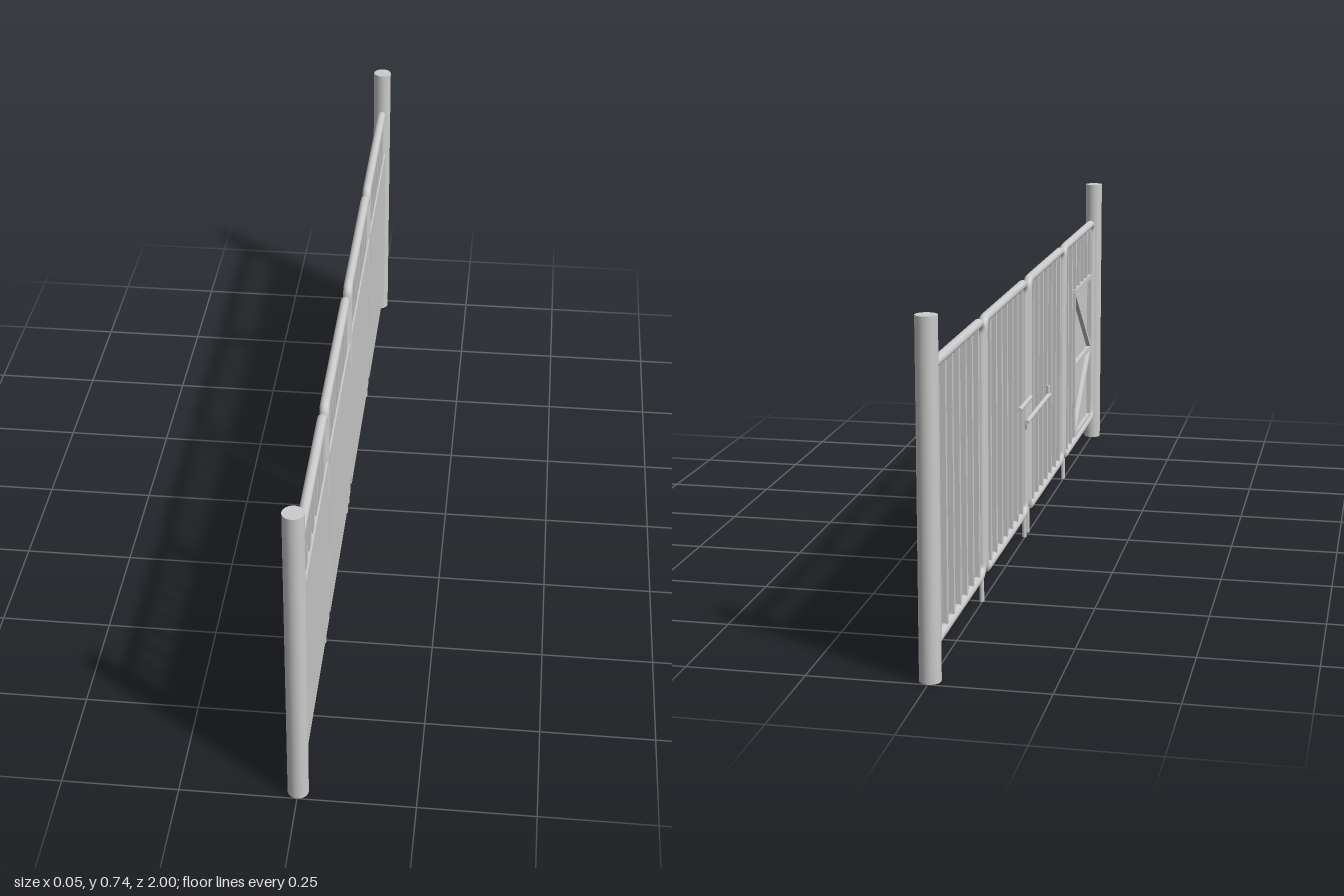
import * as THREE from 'three';

const mat = new THREE.MeshStandardMaterial({ color: 0xcccccc });
const V = (y, z, x = 0) => new THREE.Vector3(x, y, z);

function add(parent, name, geometry, x = 0, y = 0, z = 0) {
  const mesh = new THREE.Mesh(geometry, mat);
  mesh.name = name;
  mesh.position.set(x, y, z);
  parent.add(mesh);
  return mesh;
}

// round or square rod between two points
function rod(parent, name, a, b, r, square = false) {
  const len = a.distanceTo(b);
  const geo = square ? new THREE.BoxGeometry(2 * r, len, 2 * r) : new THREE.CylinderGeometry(r, r, len, 12);
  const mesh = add(parent, name, geo);
  mesh.position.copy(a).lerp(b, 0.5);
  mesh.quaternion.setFromUnitVectors(new THREE.Vector3(0, 1, 0), b.clone().sub(a).normalize());
  return mesh;
}

const TUBE = 0.0108, TOP = 0.638, BOTTOM = 0.053, SHEET_TOP = 0.505, AXIS = 0.002;

// closed tube loop with rounded corners
function frameGeometry(z0, z1) {
  const r = 0.026, y0 = BOTTOM + TUBE, y1 = TOP - TUBE;
  const a = z0 + TUBE, b = z1 - TUBE;
  const corners = [[y0, a], [y0, b], [y1, b], [y1, a]].map(([y, z]) => V(y, z));
  const path = new THREE.CurvePath();
  corners.forEach((c, i) => {
    const next = corners[(i + 1) % 4], after = corners[(i + 2) % 4];
    const dir = next.clone().sub(c).normalize(), turn = after.clone().sub(next).normalize();
    const end = next.clone().addScaledVector(dir, -r);
    path.add(new THREE.LineCurve3(c.clone().addScaledVector(dir, r), end));
    path.add(new THREE.QuadraticBezierCurve3(end, next, next.clone().addScaledVector(turn, r)));
  });
  return new THREE.TubeGeometry(path, 240, TUBE, 12, true);
}

// one gate leaf: frame, sheet on the +x side, upright bars
function leaf(name, z0, z1, hasDoor) {
  const g = new THREE.Group();
  g.name = name;
  g.position.x = AXIS;
  add(g, 'tubeFrame', frameGeometry(z0, z1));

  const sheetBottom = BOTTOM + 0.008, h = SHEET_TOP - sheetBottom;
  add(g, 'sheet', new THREE.BoxGeometry(0.004, h, z1 - z0 - 0.018),
    0.009, sheetBottom + h / 2, (z0 + z1) / 2);

  const doorStart = z0 + 0.175;
  for (let i = 1; i <= 7; i++) {
    const z = z0 + (z1 - z0) * i / 8;
    const low = hasDoor && z > doorStart ? SHEET_TOP - 0.015 : BOTTOM + TUBE;
    const len = TOP - TUBE - low;
    add(g, 'uprightBar', new THREE.BoxGeometry(0.014, len, 0.012), 0, low + len / 2, z);
  }

  // braced small door on the back of the sheet
  if (hasDoor) {
    const d0 = doorStart + 0.005, d1 = z1 - 0.035, yb = 0.075, ym = 0.275, yt = 0.48;
    const bars = [
      [yb, d0, yt, d0], [yb, d1, yt, d1],
      [yb, d0, yb, d1], [ym, d0, ym, d1], [yt, d0, yt, d1],
      [yt, d0, ym, d1], [yb, d0, ym, d1],
    ];
    for (const [ya, za, y2, z2] of bars) rod(g, 'doorBrace', V(ya, za), V(y2, z2), 0.0055, true);
  }
  return g;
}

export function createModel() {
  const model = new THREE.Group();
  model.name = 'foldingGate';

  // end posts
  for (const s of [-1, 1]) {
    add(model, 'endPost', new THREE.CylinderGeometry(0.0225, 0.0225, 0.735, 24), 0, 0.3675, s * 0.9775);
  }

  // four leaves
  model.add(leaf('outerLeafFront', 0.483, 0.96, true));
  model.add(leaf('innerLeafFront', 0.006, 0.481, false));
  model.add(leaf('innerLeafBack', -0.487, -0.012, false));
  model.add(leaf('outerLeafBack', -0.965, -0.489, false));

  // drop bolts to the ground
  for (const z of [0.507, 0.018, -0.022, -0.5]) {
    rod(model, 'dropBolt', V(0, z, AXIS), V(0.07, z, AXIS), 0.0055);
  }

  // sliding bolt and handle on the back
  const x = -0.013;
  rod(model, 'slidingBolt', V(0.3, -0.07, x), V(0.3, 0.22, x), 0.006);
  rod(model, 'boltHandle', V(0.3, 0.21, x), V(0.325, 0.21, x), 0.005);
  rod(model, 'boltHook', V(0.302, -0.065, x), V(0.282, -0.065, x), 0.005);
  rod(model, 'boltKeeper', V(0.35, -0.155, x), V(0.35, -0.025, x), 0.006);
  return model;
}
